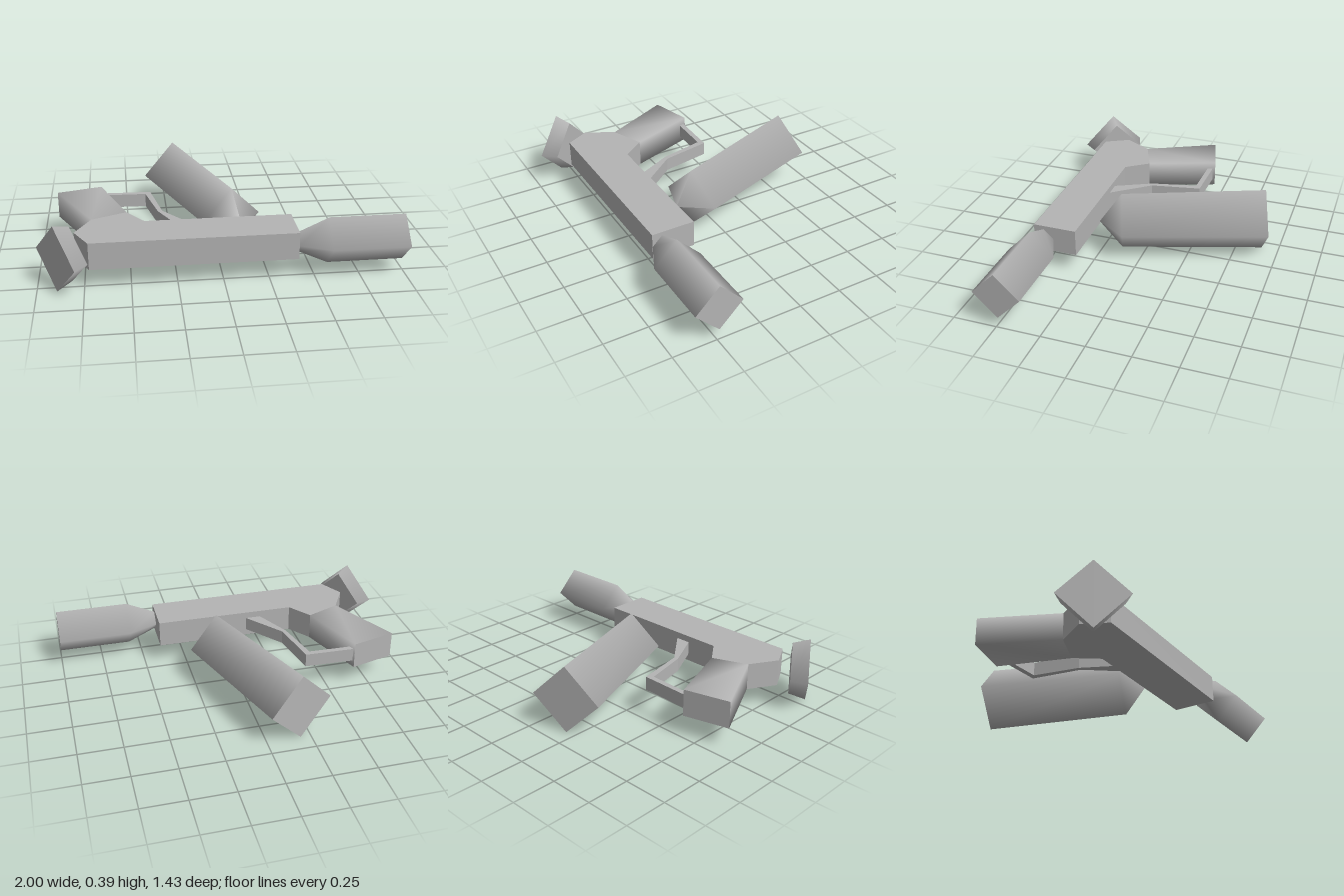
import * as THREE from 'three';

const grey = new THREE.MeshStandardMaterial({ color: 0xb4b4b4 });
grey.name = 'grey';
const MID = 0.2025; // height of the centre plane

function addMesh(parent, name, geometry) {
  const mesh = new THREE.Mesh(geometry, grey);
  mesh.name = name;
  parent.add(mesh);
  return mesh;
}

// Flat plate: an outline of [x, z] points, extruded upward from y0 to y1
function plate(points, y0, y1) {
  const shape = new THREE.Shape(points.map(([x, z]) => new THREE.Vector2(x, -z)));
  const g = new THREE.ExtrudeGeometry(shape, { depth: y1 - y0, bevelEnabled: false });
  return g.rotateX(-Math.PI / 2).translate(0, y0, 0);
}

// Four-sided smooth tube along a horizontal axis; profile is [radius, distance]
function diamondTube(name, from, to, profile) {
  const group = new THREE.Group();
  group.name = name;
  const up = new THREE.Vector3(0, 1, 0);
  const axis = new THREE.Vector3(to[0] - from[0], 0, to[1] - from[1]).normalize();
  const side = new THREE.Vector3().crossVectors(axis, up);
  group.quaternion.setFromRotationMatrix(new THREE.Matrix4().makeBasis(side, axis, up));
  group.position.set(from[0], MID, from[1]);

  const points = profile.map(([r, d]) => new THREE.Vector2(r, d));
  addMesh(group, name + 'Shell', new THREE.LatheGeometry(points, 4));
  const ends = [[profile[0], 1], [profile[profile.length - 1], -1]];
  for (const [[r, d], turn] of ends) {
    if (r < 0.001) continue;
    const cap = new THREE.CircleGeometry(r, 4).rotateX(turn * Math.PI / 2).translate(0, d, 0);
    addMesh(group, name + 'Cap', cap);
  }
  return group;
}

// Grip: two four-cornered sections joined by smooth sides
function gripSides(a, b) {
  const g = new THREE.BufferGeometry();
  g.setAttribute('position', new THREE.Float32BufferAttribute([...a, ...b].flat(), 3));
  const index = [];
  for (let i = 0; i < 4; i++) {
    const j = (i + 1) % 4;
    index.push(i, j, j + 4, i, j + 4, i + 4);
  }
  g.setIndex(index);
  g.computeVertexNormals();
  return g;
}

function quad(corners) {
  const g = new THREE.BufferGeometry();
  g.setAttribute('position', new THREE.Float32BufferAttribute(corners.flat(), 3));
  g.setIndex([0, 1, 2, 0, 2, 3]);
  g.computeVertexNormals();
  return g;
}

export function createModel() {
  const model = new THREE.Group();
  const y0 = 0.125, y1 = 0.28;

  // Body
  addMesh(model, 'body', plate([
    [-0.795, 0.405], [-0.72, 0.545], [0.405, 0.545], [0.405, 0.295],
    [-0.415, 0.295], [-0.51, 0.165], [-0.705, 0.245],
  ], y0, y1));

  // Grip
  const section = ([x0, z0], [x1, z1]) =>
    [[x0, y1, z0], [x1, y1, z1], [x1, y0, z1], [x0, y0, z0]];
  const root = section([-0.705, 0.245], [-0.51, 0.165]);
  const heel = section([-0.908, -0.165], [-0.652, -0.232]);
  addMesh(model, 'grip', gripSides(root, heel));
  addMesh(model, 'gripEnd', quad(heel));

  // Trigger guard
  addMesh(model, 'triggerGuard', plate([
    [-0.65, -0.218], [-0.36, -0.21], [-0.305, 0.08], [-0.135, 0.297],
    [-0.225, 0.297], [-0.33, 0.085], [-0.39, -0.18], [-0.64, -0.187],
  ], 0.163, 0.242));

  // Barrel along +x
  model.add(diamondTube('barrel', [0.403, 0.487], [1, 0.487],
    [[0.056, 0], [0.135, 0.172], [0.135, 0.597]]));

  // Large canister with a pointed nose
  model.add(diamondTube('canister', [-0.1925, -0.65], [0.09, 0.1325],
    [[0.196, 0], [0.18, 0.832], [0, 0.962]]));

  // Loose tapered disc behind the body
  model.add(diamondTube('rearDisc', [-0.8925, 0.555], [-0.8125, 0.5],
    [[0.189, 0], [0.16, 0.097]]));

  return model;
}
